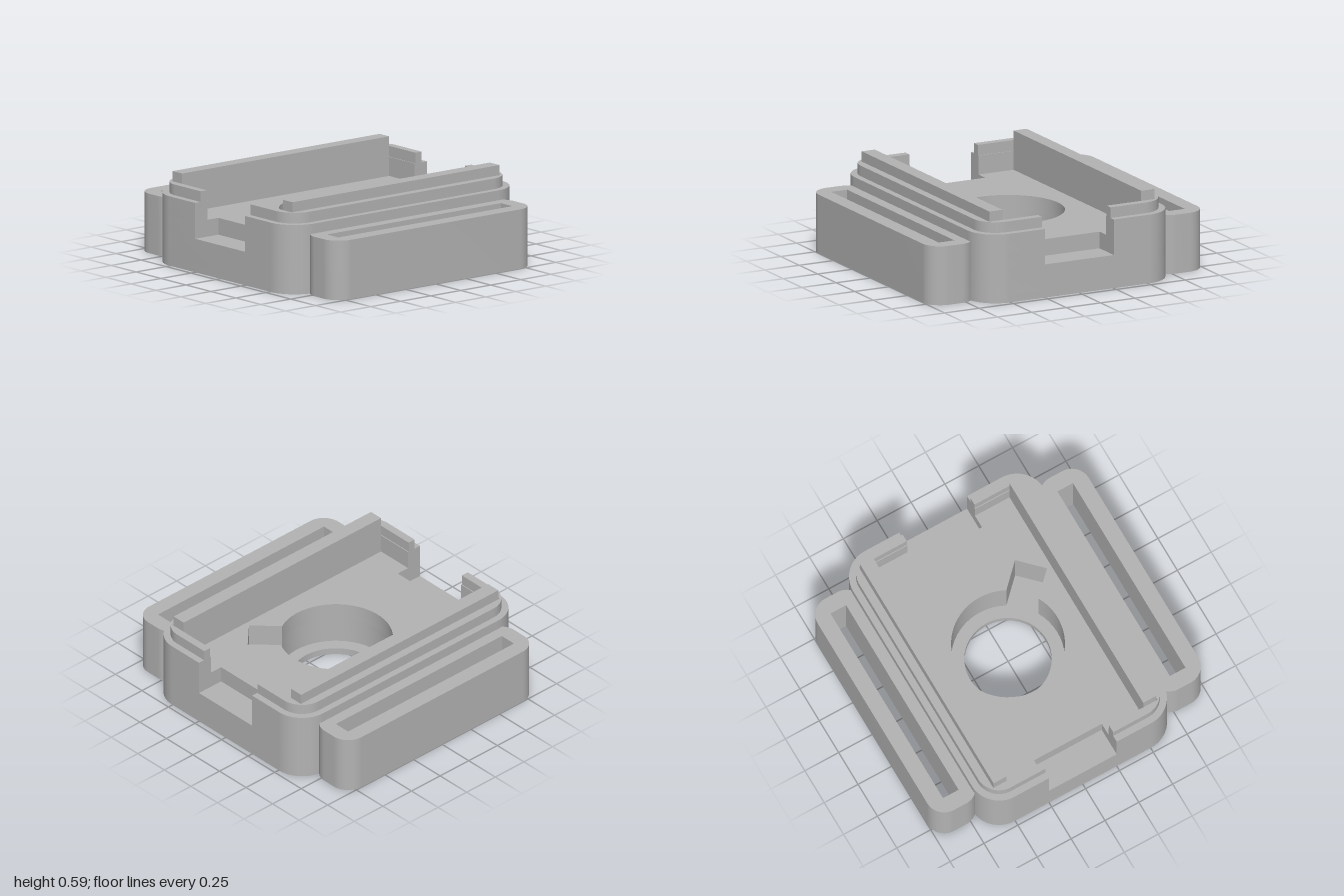
import * as THREE from 'three';
import { toCreasedNormals } from 'three/addons/utils/BufferGeometryUtils.js';

const HALF_PI = Math.PI / 2;
const NOTCH = 0.25; // half width of the front and back cutouts

// Rounded rectangle; notchZ cuts the middle of both short ends back to that depth
function roundedRect(x0, x1, z, r, notchZ = 0) {
  const s = new THREE.Shape();
  s.moveTo(x1, -z + r);
  s.lineTo(x1, z - r);
  s.absarc(x1 - r, z - r, r, 0, HALF_PI, false);
  if (notchZ) {
    s.lineTo(NOTCH, z);
    s.lineTo(NOTCH, notchZ);
    s.lineTo(-NOTCH, notchZ);
    s.lineTo(-NOTCH, z);
  }
  s.lineTo(x0 + r, z);
  s.absarc(x0 + r, z - r, r, HALF_PI, Math.PI, false);
  s.lineTo(x0, -z + r);
  s.absarc(x0 + r, -z + r, r, Math.PI, 3 * HALF_PI, false);
  if (notchZ) {
    s.lineTo(-NOTCH, -z);
    s.lineTo(-NOTCH, -notchZ);
    s.lineTo(NOTCH, -notchZ);
    s.lineTo(NOTCH, -z);
  }
  s.lineTo(x1 - r, -z);
  s.absarc(x1 - r, -z + r, r, 3 * HALF_PI, 4 * HALF_PI, false);
  return s;
}

// C-shaped wall around one half of the pocket
function wallShape(x, z, r, innerX, innerZ) {
  const s = new THREE.Shape();
  s.moveTo(NOTCH, -z);
  s.lineTo(x - r, -z);
  s.absarc(x - r, -z + r, r, -HALF_PI, 0, false);
  s.lineTo(x, z - r);
  s.absarc(x - r, z - r, r, 0, HALF_PI, false);
  s.lineTo(NOTCH, z);
  s.lineTo(NOTCH, innerZ);
  s.lineTo(innerX, innerZ);
  s.lineTo(innerX, -innerZ);
  s.lineTo(NOTCH, -innerZ);
  s.closePath();
  return s;
}

function circleHole(r) {
  const p = new THREE.Path();
  p.absarc(0, 0, r, 0, Math.PI * 2, true);
  return p;
}

// Round recess with a square key slot pointing back and to the left
function keyHole(r, half, reach) {
  const p = new THREE.Path();
  const a = Math.PI / 4, d = Math.asin(half / r);
  const c = Math.SQRT1_2;
  p.absarc(0, 0, r, a + d, a - d + Math.PI * 2, false);
  p.lineTo((reach + half) * c, (reach - half) * c);
  p.lineTo((reach - half) * c, (reach + half) * c);
  p.closePath();
  return p;
}

// Extrude a plan outline upward between two heights
function slab(shape, y0, y1) {
  const g = new THREE.ExtrudeGeometry(shape, { depth: y1 - y0, bevelEnabled: false, curveSegments: 24 });
  g.rotateX(-HALF_PI);
  g.translate(0, y0, 0);
  return toCreasedNormals(g, 0.6);
}

export function createModel() {
  const group = new THREE.Group();
  const grey = new THREE.MeshStandardMaterial({ color: 0xb3b3b3 });
  grey.name = 'grey';

  const add = (name, geometry, turn = 0) => {
    const m = new THREE.Mesh(geometry, grey);
    m.name = name;
    m.rotation.y = turn;
    group.add(m);
  };

  // Base layers: lip under the recess, recess, notched floor
  const bottom = roundedRect(-0.705, 0.705, 0.965, 0.2);
  bottom.holes.push(circleHole(0.28));
  add('bottomLip', slab(bottom, 0, 0.045));

  const base = roundedRect(-0.705, 0.705, 0.965, 0.2);
  base.holes.push(keyHole(0.365, 0.106, 0.562));
  add('base', slab(base, 0.045, 0.22));

  const floor = roundedRect(-0.705, 0.705, 0.965, 0.2, 0.772);
  floor.holes.push(keyHole(0.365, 0.106, 0.562));
  add('notchedFloor', slab(floor, 0.22, 0.33));

  // Parts repeated on both sides by a half turn
  const wall = slab(wallShape(0.705, 0.965, 0.2, 0.505, 0.862), 0.33, 0.455);
  const rim = slab(wallShape(0.66, 0.92, 0.155, 0.605, 0.868), 0.455, 0.525);
  const rail = new THREE.BoxGeometry(0.095, 0.135, 1.724);
  rail.translate(0.5525, 0.5225, 0);

  const earShape = roundedRect(0.66, 1, 0.83, 0.125);
  const slot = new THREE.Path();
  slot.moveTo(0.78, -0.725);
  slot.lineTo(0.78, 0.725);
  slot.lineTo(0.895, 0.725);
  slot.lineTo(0.895, -0.725);
  slot.closePath();
  earShape.holes.push(slot);
  const ear = slab(earShape, 0, 0.39);

  for (const [side, turn] of [['left', 0], ['right', Math.PI]]) {
    add(side + 'Wall', wall, turn);
    add(side + 'Rim', rim, turn);
    add(side + 'Rail', rail, turn);
    add(side + 'StrapLoop', ear, turn);
  }
  return group;
}
